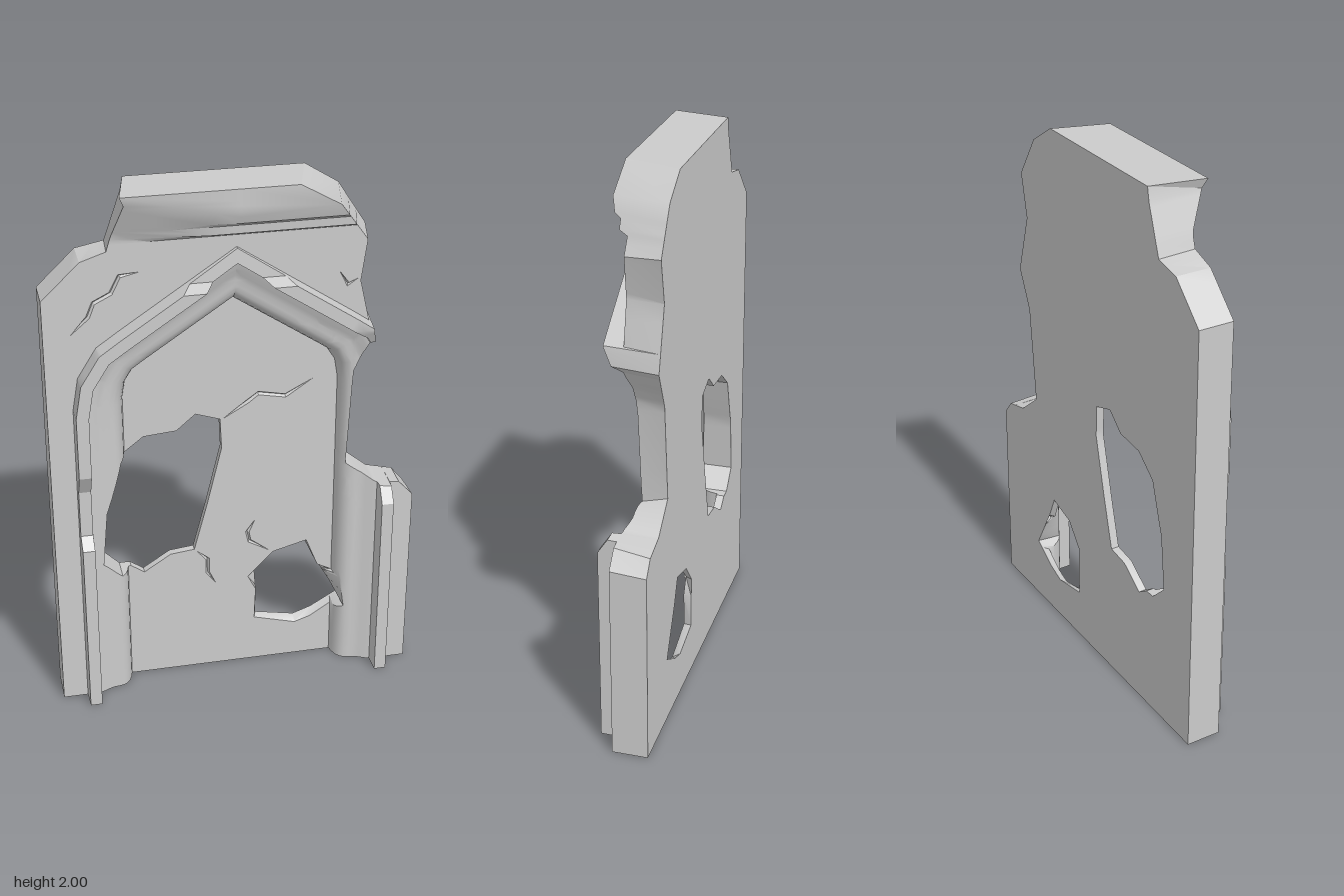
import * as THREE from 'three';
import { toCreasedNormals } from 'three/addons/utils/BufferGeometryUtils.js';

const BACK = -0.1;
const lerp = THREE.MathUtils.lerp;

// Piecewise linear lookup in a list of [position, value]
function ramp(list, v) {
  if (v <= list[0][0]) return list[0][1];
  for (let i = 1; i < list.length; i++) {
    const [a, va] = list[i - 1], [b, vb] = list[i];
    if (v <= b) return lerp(va, vb, (v - a) / (b - a));
  }
  return list[list.length - 1][1];
}

// Keep the part of a convex polygon where f >= 0
function clip(poly, f) {
  const out = [];
  poly.forEach((p, i) => {
    const q = poly[(i + 1) % poly.length], a = f(p), b = f(q);
    if (a >= 0) out.push(p);
    if ((a > 0 && b < 0) || (a < 0 && b > 0)) {
      const t = a / (a - b);
      out.push([lerp(p[0], q[0], t), lerp(p[1], q[1], t)]);
    }
  });
  return out;
}

const area = (poly) => poly.reduce((s, p, i) => {
  const q = poly[(i + 1) % poly.length];
  return s + (p[0] * q[1] - q[0] * p[1]) / 2;
}, 0);

// Counter-clockwise triangles of an outline with holes
function triangulate(outline, holes) {
  const v = (loop) => loop.map((p) => new THREE.Vector2(...p));
  const all = [outline, ...holes].flat();
  return THREE.ShapeUtils.triangulateShape(v(outline), holes.map(v)).map((f) => {
    const t = f.map((i) => all[i]);
    return area(t) < 0 ? t.reverse() : t;
  });
}

// Broken wall outline: x, y at the front, then x, y at the back
const wall = [
  [-0.665, 0, -0.665, 0], [0.665, 0, 0.665, 0], [0.665, 0.73, 0.665, 0.72], [0.61, 0.79, 0.62, 0.775],
  [0.52, 0.8, 0.52, 0.8], [0.415, 0.87, 0.41, 0.89], [0.43, 1.25, 0.445, 1.25], [0.485, 1.39, 0.51, 1.39],
  [0.435, 1.61, 0.445, 1.61], [0.455, 1.76, 0.48, 1.77], [0.34, 1.92, 0.38, 1.925], [0.2, 2, 0.26, 2],
  [-0.4, 2, -0.36, 2], [-0.385, 1.965, -0.37, 1.95], [-0.44, 1.79, -0.43, 1.78],
  [-0.53, 1.76, -0.53, 1.76], [-0.665, 1.63, -0.665, 1.63],
];
const largeHole = [
  [-0.04, 1.07], [-0.13, 1.1], [-0.2, 1.04], [-0.32, 1.03], [-0.41, 0.96], [-0.45, 0.83], [-0.47, 0.77],
  [-0.49, 0.56], [-0.42, 0.49], [-0.38, 0.49], [-0.33, 0.455], [-0.23, 0.52], [-0.14, 0.53], [-0.09, 0.72], [-0.035, 0.95],
].map(([x, y]) => [x, y, x, y]);
const smallHole = [
  [0.29, 0.515, 0.285, 0.51], [0.16, 0.48, 0.17, 0.48], [0.065, 0.38, 0.095, 0.39], [0.095, 0.32, 0.1, 0.32],
  [0.09, 0.19, 0.1, 0.195], [0.25, 0.145, 0.25, 0.165], [0.31, 0.165, 0.32, 0.19], [0.425, 0.24, 0.42, 0.25],
  [0.41, 0.36, 0.37, 0.34], [0.335, 0.4, 0.325, 0.42],
];
const crackPaths = [
  [[-0.57, 1.5], [-0.51, 1.56], [-0.49, 1.61], [-0.43, 1.64], [-0.4, 1.7], [-0.33, 1.71]],
  [[-0.03, 1.07], [0.06, 1.13], [0.1, 1.16], [0.2, 1.14], [0.3, 1.2]],
  [[-0.13, 0.52], [-0.09, 0.48], [-0.09, 0.42], [-0.06, 0.37]],
  [[0.145, 0.49], [0.07, 0.54], [0.062, 0.58], [0.09, 0.63]],
  [[0.36, 1.65], [0.39, 1.6], [0.425, 1.62]],
];

// A crack is a thin tapered loop whose lower edge is its own centre line
function crackLoop(path) {
  const side = (s) => path.slice(1, -1).map(([x, y], i) => {
    const dx = path[i + 2][0] - path[i][0], dy = path[i + 2][1] - path[i][1], k = s * 0.007 / Math.hypot(dx, dy);
    return [x - dy * k, y + dx * k, x, y];
  });
  const [a, b] = [path[0], path[path.length - 1]];
  return [[...a, ...a], ...side(1), [...b, ...b], ...side(-1).reverse()];
}

// Pointed arch: signed distance to each edge line of the inner panel
const half = [[0.39, 0], [0.39, 1.2], [0.378, 1.27], [0.35, 1.315], [0.31, 1.343], [0, 1.55]];
const archEdges = [];
for (let i = 1; i < half.length; i++) {
  const [a, b] = [half[i - 1], half[i]];
  const dx = b[0] - a[0], dy = b[1] - a[1], l = Math.hypot(dx, dy);
  for (const m of [1, -1]) archEdges.push((p) => ((p[0] * m - a[0]) * dy - (p[1] - a[1]) * dx) / l);
}

// Moulding section: distance outward from the panel, height of the surface
const section = [
  [-9, -0.07], [0, -0.07], [0.006, -0.045], [0.015, -0.024], [0.027, -0.009], [0.042, 0], [0.06, 0.004],
  [0.08, 0.006], [0.1, 0.014], [0.12, 0.024], [0.137, 0.03], [0.139, 0.1], [0.183, 0.1], [0.185, 0.03], [9, 0.03],
];
const cornice = [[1.815, 0.03], [1.83, 0.06], [1.86, 0.062], [1.875, 0.085], [1.92, 0.1]];
const leftChip = [[0.68, 0.1], [0.72, 0.055], [0.9, 0.055], [0.98, 0.1]];
const postTop = [[0.74, 0.1], [0.8, 0.06]];
const archEndChip = [[1.37, 0.03], [1.39, 0.07], [1.45, 0.1]];
const apexChip = [[1.64, 0.1], [1.66, 0.05], [1.78, 0.04]];
const yCuts = [...new Set([cornice, leftChip, postTop, archEndChip, apexChip].flat().map((c) => c[0]))];

// Sloping break across the left end of the cornice, zero along its upper edge
const breakLine = ([x, y]) => y - 2 + 0.25 * (x + 0.4);

// Height of the worn front surface
function height([x, y], d) {
  const z = ramp(section, d);
  if (y > 1.8) return Math.min(ramp(cornice, y), Math.max(0.03, 0.1 + 0.42 * breakLine([x, y])));
  if (y > 1.6) return Math.min(z, ramp(apexChip, y));
  if (x > 0.3 && y > 1.3) return Math.min(z, ramp(archEndChip, y));
  if (x > 0.5) return Math.min(z, ramp(postTop, y));
  if (x < 0 && y < 1) return Math.min(z, ramp(leftChip, y));
  return z;
}

export function createModel() {
  const through = [largeHole, smallHole], cracks = crackPaths.map(crackLoop);
  const front = (loop) => loop.map((p) => [p[0], p[1]]);
  const rear = (loop) => loop.map((p) => [p[2], p[3]]);
  const stone = [], grooves = [];

  // Border segments, used to raise the broken edges and crack sides
  const borders = [wall, ...through, ...cracks].flatMap((loop, k) =>
    loop.map((a, i) => ({ a, b: loop[(i + 1) % loop.length], crack: k > through.length })));
  const along = (s, p) => {
    const dx = s.b[0] - s.a[0], dy = s.b[1] - s.a[1], l2 = dx * dx + dy * dy;
    const px = p[0] - s.a[0], py = p[1] - s.a[1], u = (px * dx + py * dy) / l2;
    return Math.abs(px * dy - py * dx) / Math.sqrt(l2) < 1e-6 && u > -1e-5 && u < 1 + 1e-5 ? u : null;
  };

  function emit(poly, dist) {
    if (poly.length < 3 || area(poly) < 1e-9) return;
    const v = poly.map((p) => [p[0], p[1], height(p, dist(p))]);
    for (let i = 2; i < v.length; i++) stone.push(...v[0], ...v[i - 1], ...v[i]);
    v.forEach((p, i) => {
      const q = v[(i + 1) % v.length];
      for (const s of borders) {
        const u = along(s, p), w = u === null ? null : along(s, q);
        if (w === null) continue;
        const low = (r, t) => [lerp(s.a[2], s.b[2], t), lerp(s.a[3], s.b[3], t), s.crack ? r[2] - 0.01 : BACK];
        const pb = low(p, u), qb = low(q, w);
        (s.crack ? grooves : stone).push(...pb, ...qb, ...q, ...pb, ...q, ...p);
        break;
      }
    });
  }

  // Front surface: cut the outline along the chips, cornice and moulding lines
  let pieces = triangulate(front(wall), [...through, ...cracks].map(front));
  const split = (f) => {
    pieces = pieces.flatMap((p) => [clip(p, f), clip(p, (q) => -f(q))]).filter((p) => p.length > 2 && area(p) > 1e-10);
  };
  yCuts.forEach((c) => split((p) => p[1] - c));
  [0, 0.05, 0.095, 0.16].forEach((c) => split((p) => breakLine(p) + c));
  for (const piece of pieces) {
    for (const d of archEdges) {
      let sector = piece;
      for (const e of archEdges) if (e !== d) sector = clip(sector, (p) => d(p) - e(p));
      for (let k = 1; k < section.length && sector.length > 2; k++) {
        const band = clip(sector, (p) => d(p) - section[k - 1][0]);
        emit(clip(band, (p) => section[k][0] - d(p)), d);
      }
    }
  }

  // Flat back
  for (const t of triangulate(rear(wall), through.map(rear)))
    for (const p of t.reverse()) stone.push(p[0], p[1], BACK);

  const group = new THREE.Group();
  group.name = 'ruinedArchWall';
  const material = new THREE.MeshStandardMaterial({ color: 0xcccccc });
  for (const [name, data] of [['archedWall', stone], ['cracks', grooves]]) {
    const geometry = new THREE.BufferGeometry();
    geometry.setAttribute('position', new THREE.Float32BufferAttribute(data, 3));
    geometry.computeVertexNormals();
    const mesh = new THREE.Mesh(toCreasedNormals(geometry, 0.5), material);
    mesh.name = name;
    group.add(mesh);
  }
  return group;
}
